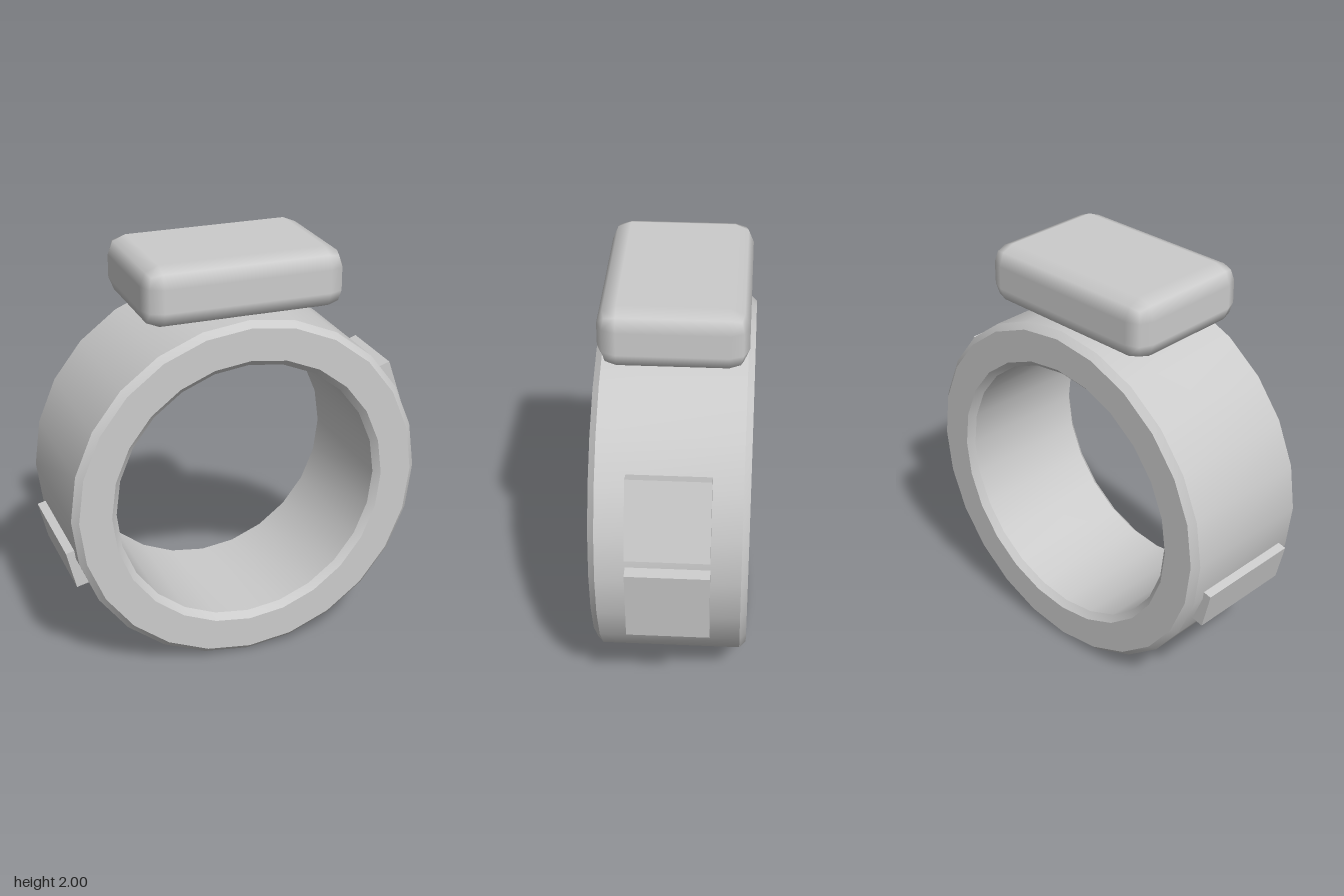
import * as THREE from 'three';
import { toCreasedNormals } from 'three/addons/utils/BufferGeometryUtils.js';
import { RoundedBoxGeometry } from 'three/addons/geometries/RoundedBoxGeometry.js';

const material = new THREE.MeshStandardMaterial({ color: 0xcccccc });

function addPart(group, name, geometry, x, y, z = 0) {
  const mesh = new THREE.Mesh(geometry, material);
  mesh.name = name;
  mesh.position.set(x, y, z);
  group.add(mesh);
  return mesh;
}

// Band: chamfered rectangular section turned around the z axis
function bandGeometry(outer, inner, halfWidth, chamfer) {
  const w = halfWidth, c = chamfer;
  const profile = [
    [inner + c, -w], [outer - c, -w], [outer, -w + c], [outer, w - c],
    [outer - c, w], [inner + c, w], [inner, w - c], [inner, -w + c], [inner + c, -w],
  ].map(([r, y]) => new THREE.Vector2(r, y));
  const geometry = new THREE.LatheGeometry(profile, 24).rotateX(Math.PI / 2);
  return toCreasedNormals(geometry, 0.5);
}

export function createModel() {
  const group = new THREE.Group();
  group.name = 'ring';

  addPart(group, 'band', bandGeometry(0.86, 0.645, 0.357, 0.03), -0.018, 0.865);

  // Rounded block on top of the band
  addPart(group, 'topBlock', new RoundedBoxGeometry(0.965, 0.285, 0.665, 1, 0.088), -0.018, 1.858);

  // Flat plates sunk into the rim: centre of outer face, outward normal, length, width
  const plates = [
    ['upperLeftPlate', 0.82, 1.187, 0.947, 0.32, 0.375, 0.38],
    ['lowerLeftPlate', 0.87, 0.74, 0.994, -0.105, 0.38, 0.38],
    ['rightPlate', -0.872, 0.583, -0.972, -0.236, 0.19, 0.535],
  ];
  const thickness = 0.1;
  for (const [name, x, y, nx, ny, length, width] of plates) {
    const plate = addPart(group, name, new THREE.BoxGeometry(thickness, length, width),
      x - nx * thickness / 2, y - ny * thickness / 2);
    plate.rotation.z = Math.atan2(ny, nx);
  }
  return group;
}
